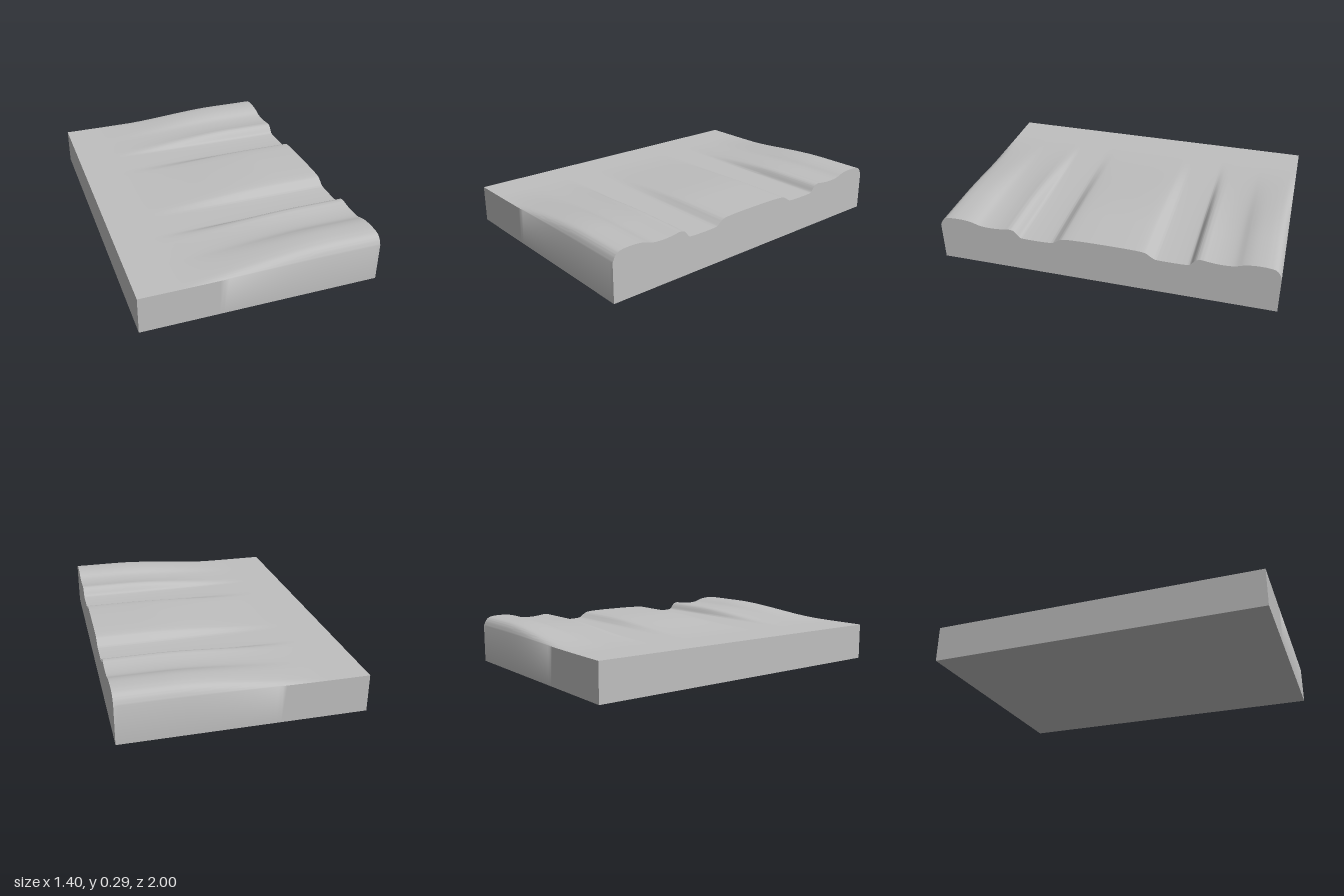
import * as THREE from 'three';
import { toCreasedNormals } from 'three/addons/utils/BufferGeometryUtils.js';

const FLAT = 0.222; // height of the plain end

// Half of the moulded profile at the raised end: [distance from centre, height]
const HALF = [
  [0, 0.267], [0.13, 0.266], [0.22, 0.262], [0.25, 0.256], [0.275, 0.24], [0.3, 0.225], [0.32, 0.222],
  [0.48, 0.222], [0.5, 0.226], [0.52, 0.25], [0.535, 0.264], [0.56, 0.271], [0.6, 0.266], [0.65, 0.261],
  [0.71, 0.261], [0.75, 0.266], [0.79, 0.279], [0.83, 0.287], [0.88, 0.29], [0.93, 0.288],
  [0.965, 0.28], [0.985, 0.262], [1, 0.23],
];

function createSlab() {
  // Mirrored profile, running from front (+z) to back (-z)
  const points = [
    ...HALF.slice(1).reverse().map(([z, y]) => new THREE.Vector3(0, y, z)),
    ...HALF.map(([z, y]) => new THREE.Vector3(0, y, -z)),
  ];
  const profile = new THREE.CatmullRomCurve3(points, false, 'centripetal').getPoints((points.length - 1) * 4);
  const positions = [];
  const quad = (a, b, c, d) => [a, b, c, a, c, d].forEach((p) => positions.push(...p));

  // The mouldings fade smoothly into the plain end
  const steps = 56;
  const rings = [];
  for (let i = 0; i <= steps; i++) {
    const x = -0.7 + (1.4 * i) / steps;
    const rise = THREE.MathUtils.smoothstep(x, -0.5, 0.42);
    const top = profile.map((p) => [x, FLAT + (p.y - FLAT) * rise, p.z]);
    rings.push([[x, 0, 1], ...top, [x, 0, -1]]);
  }

  // Front wall, moulded top, back wall and underside
  const n = rings[0].length;
  for (let i = 0; i < steps; i++) {
    for (let j = 0; j < n; j++) {
      const k = (j + 1) % n;
      quad(rings[i][j], rings[i + 1][j], rings[i + 1][k], rings[i][k]);
    }
  }

  // End caps
  const floor = ([x, , z]) => [x, 0, z];
  const start = rings[0], end = rings[steps];
  for (let j = 1; j < n - 2; j++) {
    quad(floor(end[j]), floor(end[j + 1]), end[j + 1], end[j]);
    quad(start[j], start[j + 1], floor(start[j + 1]), floor(start[j]));
  }

  const geometry = new THREE.BufferGeometry();
  geometry.setAttribute('position', new THREE.Float32BufferAttribute(positions, 3));
  return toCreasedNormals(geometry, Math.PI / 3);
}

export function createModel() {
  const group = new THREE.Group();
  group.name = 'mouldedSlab';
  const grey = new THREE.MeshStandardMaterial({ color: 0xbfbfbf });
  grey.name = 'light grey';
  const slab = new THREE.Mesh(createSlab(), grey);
  slab.name = 'slab';
  group.add(slab);
  return group;
}
